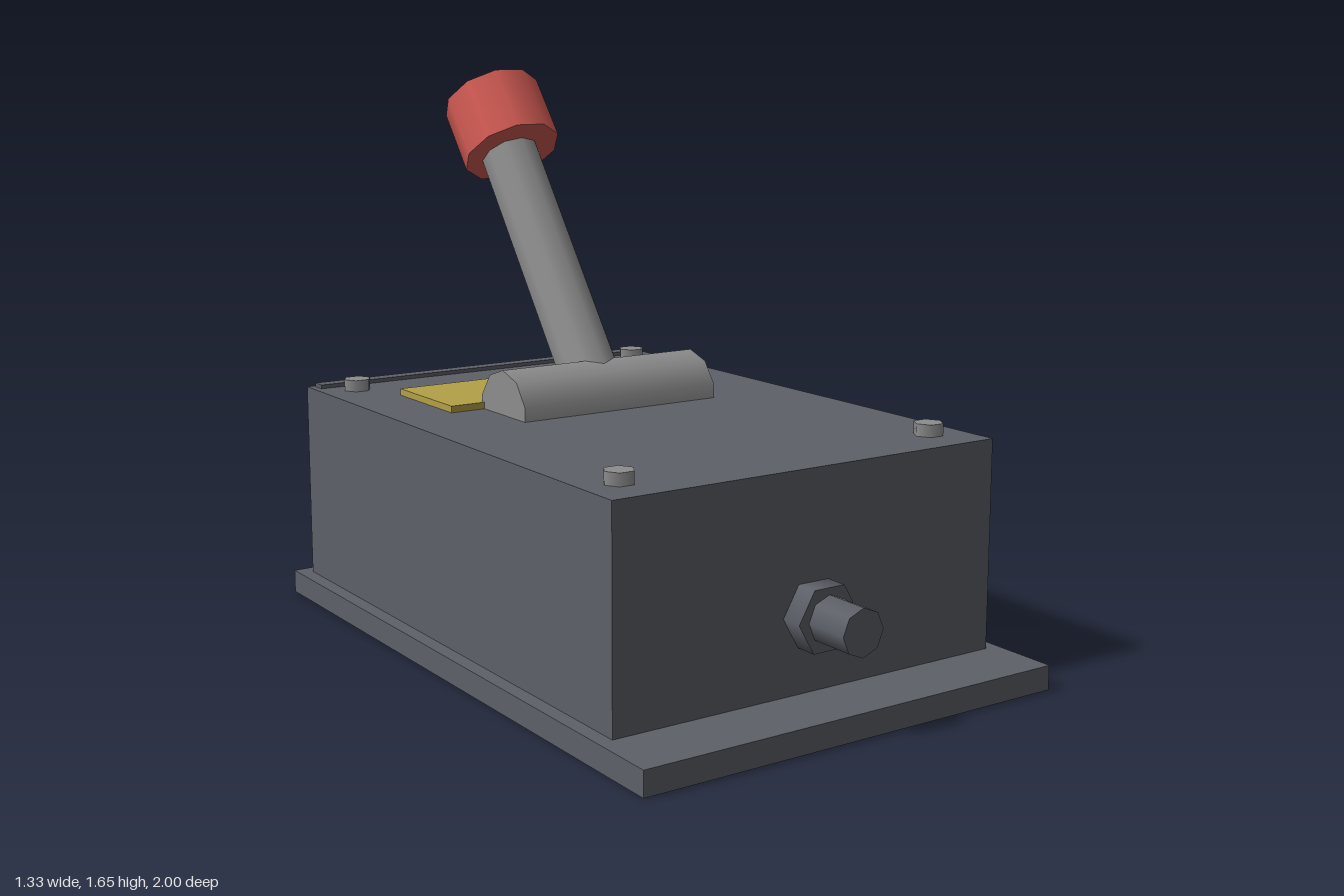
import * as THREE from 'three';

const mat = (name, color) => {
  const m = new THREE.MeshStandardMaterial({ color });
  m.name = name;
  return m;
};

export function createModel() {
  const model = new THREE.Group();
  model.name = 'leverSwitchBox';
  const housing = mat('housing grey', 0x5d6068);
  const metal = mat('bare metal', 0x8d8d8d);
  const red = mat('knob red', 0xd05a53);
  const yellow = mat('plate yellow', 0xb3a047);

  const add = (name, geometry, material, x, y, z) => {
    const mesh = new THREE.Mesh(geometry, material);
    mesh.name = name;
    mesh.position.set(x, y, z);
    model.add(mesh);
    return mesh;
  };
  // Box standing on height y
  const box = (name, material, w, h, d, y, z) =>
    add(name, new THREE.BoxGeometry(w, h, d), material, 0, y + h / 2, z);
  // Prism-like cylinder; turned so that corners point to +-x
  const rod = (r, h, sides) => new THREE.CylinderGeometry(r, r, h, sides).rotateY(Math.PI / 2);

  // Housing
  box('basePlate', housing, 1.33, 0.07, 2, 0, 0);
  box('housingBody', housing, 1.244, 0.6, 1.755, 0.07, -0.0775);
  box('rearStrip', housing, 1.2, 0.012, 0.045, 0.67, -0.918);
  box('labelPlate', yellow, 0.884, 0.02, 0.33, 0.67, -0.502);

  // Corner bolts
  for (const x of [-0.511, 0.511]) {
    for (const z of [-0.825, 0.662]) add('bolt', rod(0.043, 0.035, 6), metal, x, 0.6875, z);
  }

  // Cable gland on the front
  add('glandNut', rod(0.098, 0.065, 6).rotateX(Math.PI / 2), housing, 0, 0.282, 0.8325);
  add('glandStub', rod(0.066, 0.2, 8).rotateX(Math.PI / 2), housing, 0, 0.282, 0.9);

  // Pivot, half sunk in the lid
  add('pivot', rod(0.132, 0.665, 10).rotateZ(Math.PI / 2), metal, 0, 0.67, -0.225);

  // Lever leaning back, with its knob
  const lever = add('lever', new THREE.CylinderGeometry(0.092, 0.092, 0.93, 10).translate(0, 0.465, 0),
    metal, 0, 0.67, -0.222);
  lever.rotation.x = -THREE.MathUtils.degToRad(36.2);
  const knob = add('knob', rod(0.155, 0.21, 10), red, 0, 1.476, -0.797);
  knob.rotation.x = -THREE.MathUtils.degToRad(38);

  return model;
}
